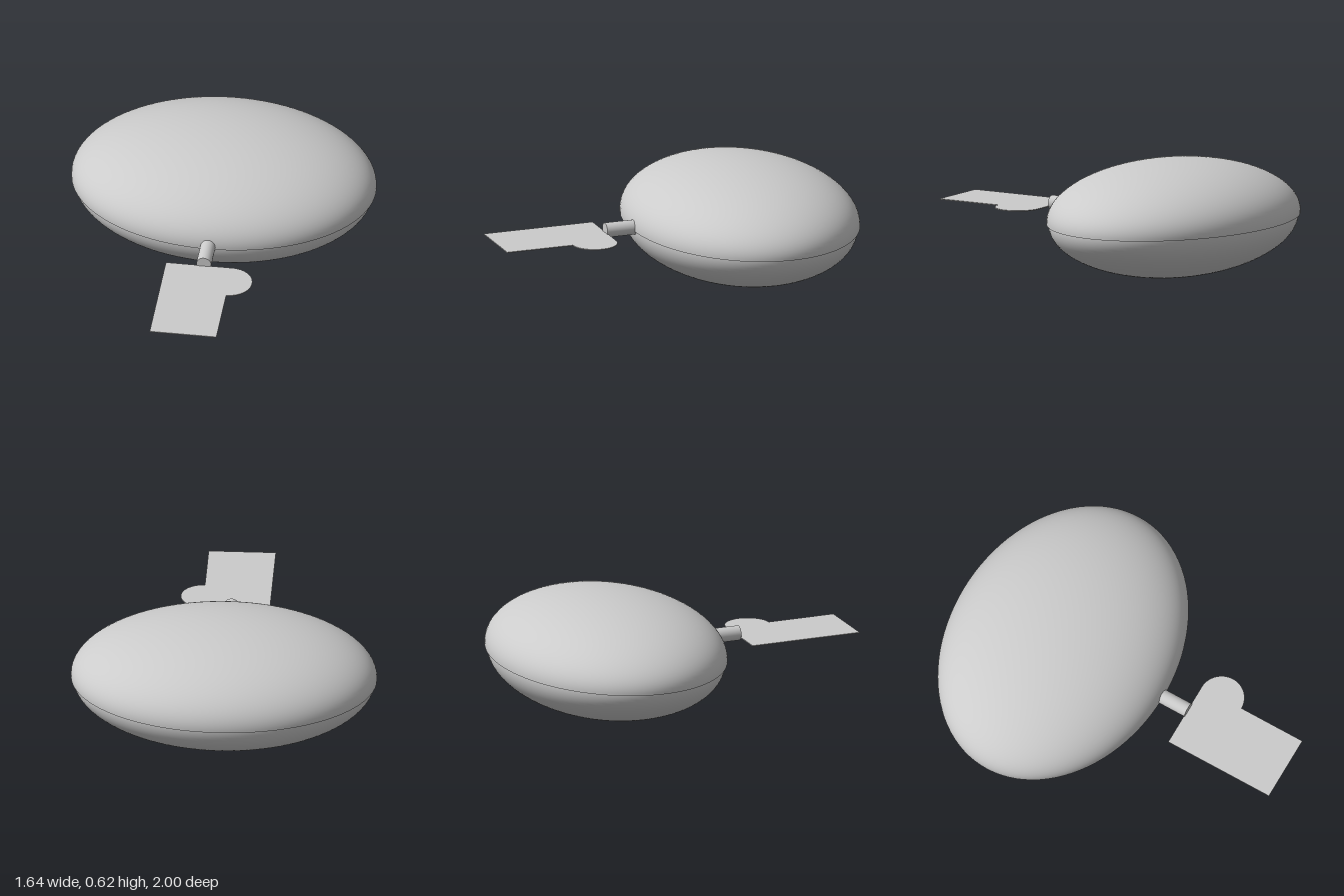
import * as THREE from 'three';

export function createModel() {
  const group = new THREE.Group();
  const grey = new THREE.MeshStandardMaterial({ color: 0xcccccc, side: THREE.DoubleSide });

  const add = (name, geometry, x, y, z) => {
    const mesh = new THREE.Mesh(geometry, grey);
    mesh.name = name;
    mesh.position.set(x, y, z);
    group.add(mesh);
    return mesh;
  };

  // Two oval half shells; the upper one slightly overhangs the lower one
  const halfShell = (rx, ry, rz, start) =>
    new THREE.SphereGeometry(1, 96, 32, 0, Math.PI * 2, start, Math.PI / 2).scale(rx, ry, rz);
  const centreZ = -0.385;
  add('upperShell', halfShell(0.82, 0.3, 0.615, 0), 0, 0.315, centreZ);
  add('lowerShell', halfShell(0.81, 0.305, 0.605, Math.PI / 2), 0, 0.305, centreZ);

  // Short upright rim and flat underside lip along the seam
  const rim = new THREE.CylinderGeometry(1, 1, 0.012, 96, 1, true).scale(0.82, 1, 0.615);
  add('seamRim', rim, 0, 0.309, centreZ);
  const lip = new THREE.RingGeometry(0.95, 1, 96).rotateX(Math.PI / 2).scale(0.82, 1, 0.615);
  add('seamLip', lip, 0, 0.303, centreZ);

  // Round stem at the front
  const stem = new THREE.CylinderGeometry(0.04, 0.04, 0.205, 32).rotateX(Math.PI / 2);
  add('stem', stem, 0, 0.318, 0.2825);

  // Thin flat tag with a rounded side lobe, drawn in x and -z
  const outline = new THREE.Shape();
  outline.moveTo(-0.205, -1);
  outline.lineTo(0.155, -1);
  outline.lineTo(0.155, -0.625);
  outline.absarc(0.155, -0.5025, 0.1225, -Math.PI / 2, Math.PI / 2, false);
  outline.lineTo(-0.205, -0.38);
  outline.closePath();
  const tag = new THREE.ExtrudeGeometry(outline, { depth: 0.005, bevelEnabled: false, curveSegments: 32 });
  add('tag', tag.rotateX(-Math.PI / 2), 0, 0.3, 0);

  return group;
}
